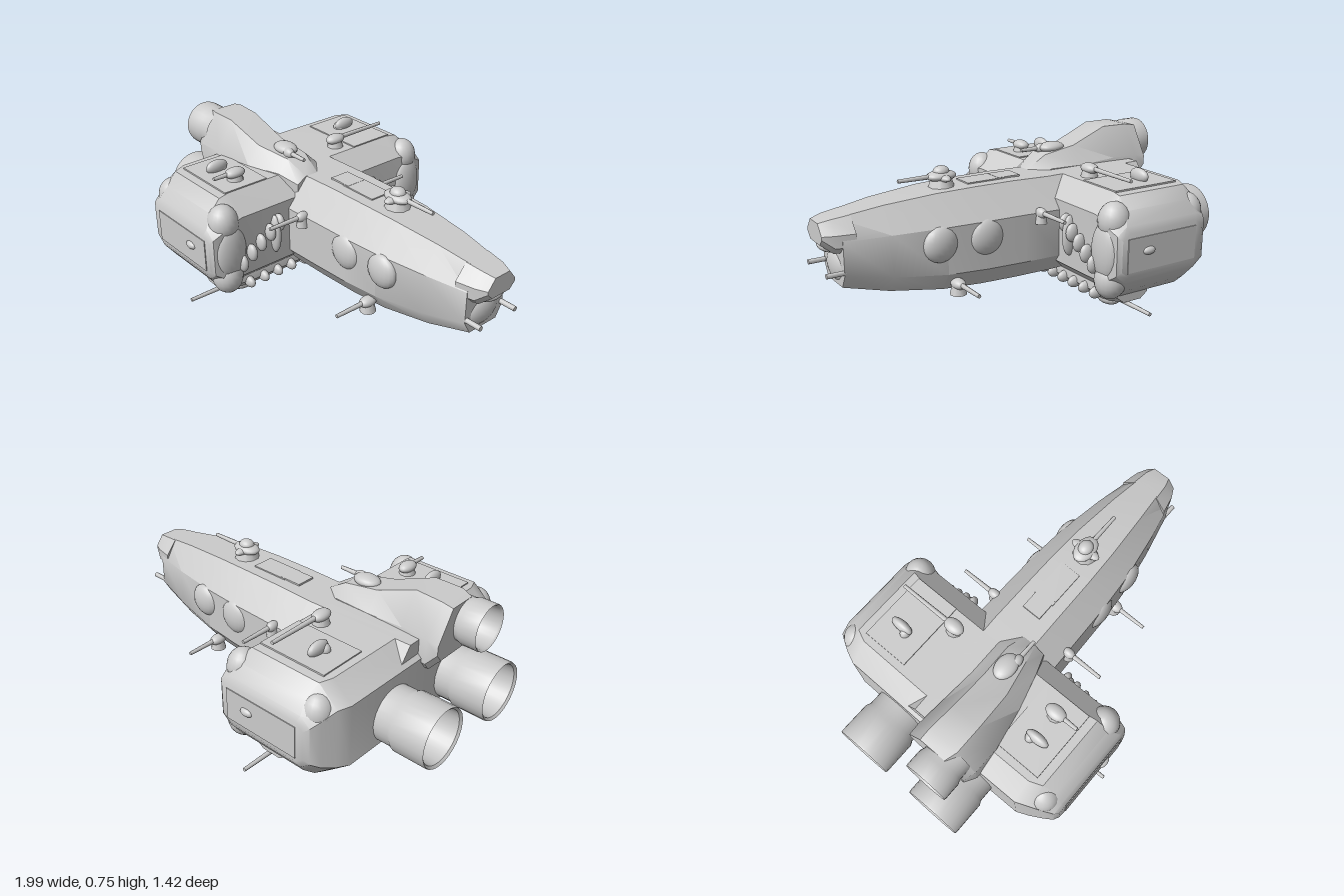
import * as THREE from 'three';
import { toCreasedNormals } from 'three/addons/utils/BufferGeometryUtils.js';

const grey = new THREE.MeshStandardMaterial({ color: 0xcccccc });
const greyDouble = new THREE.MeshStandardMaterial({ color: 0xcccccc, side: THREE.DoubleSide });

function add(parent, name, geo, pos = [0, 0, 0], scale = [1, 1, 1], mat = grey) {
  const m = new THREE.Mesh(geo, mat);
  m.name = name;
  m.position.set(...pos);
  m.scale.set(...scale);
  parent.add(m);
  return m;
}

// Loft of chamfered rectangles along 'x' (ring in -z,y) or 'z' (ring in x,y).
// Section: [t, u0, u1, v0, v1, topCutU, topCutV, bottomCutU, bottomCutV]
function loft(sections, axis) {
  const pos = [], idx = [], n = 8;
  const put = (u, v, t) => (axis === 'x' ? pos.push(t, v, -u) : pos.push(u, v, t));
  for (const [t, u0, u1, v0, v1, a, b, c, d] of sections) {
    const ring = [
      [u0 + c, v0], [u1 - c, v0], [u1, v0 + d], [u1, v1 - b],
      [u1 - a, v1], [u0 + a, v1], [u0, v1 - b], [u0, v0 + d],
    ];
    ring.forEach(([u, v]) => put(u, v, t));
  }
  for (let s = 0; s < sections.length - 1; s++) {
    for (let i = 0; i < n; i++) {
      const p = s * n + i, q = s * n + (i + 1) % n;
      idx.push(p, q, q + n, p, q + n, p + n);
    }
  }
  const e = (sections.length - 1) * n;
  for (let i = 1; i < n - 1; i++) idx.push(0, i + 1, i, e, e + i, e + i + 1);
  const g = new THREE.BufferGeometry();
  g.setAttribute('position', new THREE.Float32BufferAttribute(pos, 3));
  g.setIndex(idx);
  return toCreasedNormals(g, 0.6);
}

const ball = new THREE.SphereGeometry(1, 20, 12);

// Gun: domed mount with a barrel along its local +x
function gun(parent, name, pos, yaw, length, size = 1, flip = false) {
  const g = new THREE.Group();
  g.name = name;
  add(g, 'gunBase', new THREE.CylinderGeometry(0.035, 0.05, 0.05, 10), [0, -0.025, 0], [size, 1, size]);
  add(g, 'gunDome', ball, [0, 0, 0], [0.06 * size, 0.026, 0.04 * size]);
  const barrel = add(g, 'gunBarrel', new THREE.CylinderGeometry(0.009, 0.013, length, 8), [length / 2, 0.002, 0]);
  barrel.rotation.z = -Math.PI / 2;
  g.position.set(...pos);
  g.rotation.set(flip ? Math.PI : 0, flip ? -yaw : yaw, 0, 'YXZ');
  if (flip) g.rotation.y = yaw;
  parent.add(g);
  return g;
}

// Hollow exhaust pointing to -x; h0 is its buried end, h1 its lip
function engine(parent, name, y, z, r, h0, h1) {
  const mid = h0 + (h1 - h0) * 0.5;
  const profile = [
    [r * 0.93, h0], [r * 0.93, mid - 0.02], [r, mid], [r, h1 - 0.01], [r * 0.98, h1],
    [r * 0.9, h1 - 0.01], [r * 0.83, mid], [r * 0.7, h0 + 0.04], [0, h0 + 0.03],
  ].map(([a, b]) => new THREE.Vector2(a, b));
  const geo = toCreasedNormals(new THREE.LatheGeometry(profile, 28), 0.7);
  add(parent, name, geo, [0, y, z], [1, 1, 1], greyDouble).rotation.z = Math.PI / 2;
}

export function createModel() {
  const ship = new THREE.Group();
  ship.name = 'spaceship';

  // Long forward hull
  const hull = [
    [-0.72, 0.2, 0.15, 0.6], [-0.15, 0.23, 0.14, 0.6], [0.05, 0.225, 0.14, 0.605],
    [0.25, 0.22, 0.145, 0.605], [0.45, 0.205, 0.155, 0.6], [0.7, 0.165, 0.19, 0.58], [0.91, 0.12, 0.24, 0.55],
  ].map(([x, w, y0, y1]) => [x, -w, w, y0, y1, w * 0.5, (y1 - y0) * 0.3, w * 0.3, (y1 - y0) * 0.2]);
  add(ship, 'hull', loft(hull, 'x'));

  // Nose brow, chin and slot
  add(ship, 'noseBrow', loft([
    [0.85, -0.13, 0.13, 0.4, 0.558, 0.06, 0.07, 0.03, 0.03],
    [0.94, -0.11, 0.11, 0.4, 0.547, 0.05, 0.06, 0.03, 0.03],
    [0.99, -0.085, 0.085, 0.44, 0.535, 0.04, 0.05, 0.03, 0.03],
  ], 'x'));
  add(ship, 'noseChin', ball, [0.89, 0.32, 0], [0.04, 0.075, 0.1]);
  add(ship, 'noseLip', ball, [0.93, 0.42, 0], [0.05, 0.03, 0.075]);

  // Wide transverse engine block
  const block = [
    [0, -0.74, -0.14, 0.1, 0.6, 0.1, 0.09, 0.12, 0.1],
    [0.5, -0.735, -0.14, 0.1, 0.6, 0.1, 0.09, 0.12, 0.1],
    [0.56, -0.71, -0.13, 0.11, 0.595, 0.1, 0.09, 0.12, 0.1],
    [0.62, -0.68, -0.13, 0.16, 0.54, 0.09, 0.07, 0.1, 0.07],
    [0.665, -0.655, -0.14, 0.22, 0.485, 0.05, 0.04, 0.05, 0.04],
    [0.68, -0.63, -0.16, 0.25, 0.455, 0.04, 0.03, 0.04, 0.03],
  ];
  const mirrored = block.slice(1).reverse().map(([t, ...rest]) => [-t, ...rest]);
  add(ship, 'engineBlock', loft([...mirrored, ...block], 'z'));

  // Raised belly rail with ribs
  add(ship, 'bellyRail', loft([
    [-0.56, -0.42, -0.24, 0.07, 0.16, 0.01, 0.03, 0.04, 0.03],
    [-0.42, -0.42, -0.22, 0.04, 0.16, 0.01, 0.03, 0.05, 0.05],
    [0.42, -0.42, -0.22, 0.04, 0.16, 0.01, 0.03, 0.05, 0.05],
    [0.56, -0.42, -0.24, 0.07, 0.16, 0.01, 0.03, 0.04, 0.03],
  ], 'z'));
  for (let i = -5; i <= 5; i++) {
    add(ship, 'bellyRib', ball, [-0.22, 0.09, i * 0.085], [0.04, 0.03, 0.022]);
  }

  // Offset dorsal nacelle (u is -z)
  add(ship, 'dorsalNacelle', loft([
    [-0.82, -0.28, 0.04, 0.52, 0.755, 0.09, 0.15, 0.03, 0.04],
    [-0.76, -0.3, 0.04, 0.45, 0.765, 0.09, 0.15, 0.03, 0.04],
    [-0.62, -0.3, 0.03, 0.45, 0.765, 0.09, 0.15, 0.03, 0.04],
    [-0.42, -0.26, 0.02, 0.45, 0.69, 0.07, 0.09, 0.03, 0.04],
    [-0.24, -0.21, 0.02, 0.45, 0.665, 0.06, 0.06, 0.03, 0.04],
    [-0.14, -0.17, 0, 0.5, 0.6, 0.05, 0.03, 0.03, 0.03],
  ], 'x'));
  add(ship, 'dorsalBump', ball, [-0.32, 0.685, 0.1], [0.07, 0.028, 0.05]);
  gun(ship, 'dorsalGun', [-0.27, 0.68, 0.12], 0, 0.12, 0.6);

  // Three exhausts
  engine(ship, 'rightEngine', 0.32, -0.22, 0.145, 0.66, 1);
  engine(ship, 'leftEngine', 0.32, 0.22, 0.145, 0.66, 1);
  engine(ship, 'upperEngine', 0.65, 0.17, 0.112, 0.76, 0.935);

  // Top hatches and nose turret
  add(ship, 'topHatch', new THREE.BoxGeometry(0.2, 0.012, 0.11), [0.16, 0.605, 0]);
  add(ship, 'topHatch', new THREE.BoxGeometry(0.12, 0.02, 0.1), [0.03, 0.602, 0]);
  gun(ship, 'topTurret', [0.37, 0.65, 0], 0, 0.22, 1.25);
  add(ship, 'turretCap', ball, [0.37, 0.67, 0], [0.04, 0.028, 0.035]);
  add(ship, 'turretArms', ball, [0.37, 0.645, 0], [0.03, 0.02, 0.08]);

  for (const s of [1, -1]) {
    const out = -s * Math.PI / 2;
    // Hull side domes and slits
    add(ship, 'sideDome', ball, [0.25, 0.39, s * 0.2], [0.09, 0.09, 0.045]);
    add(ship, 'sideDome', ball, [0.48, 0.39, s * 0.19], [0.085, 0.085, 0.045]);
    const slit = add(ship, 'sideSlit', new THREE.BoxGeometry(0.25, 0.012, 0.02), [0.17, 0.525, s * 0.16]);
    slit.rotation.x = s * 0.9;

    // Guns on the hull sides, block roof and belly
    gun(ship, 'midHullGun', [-0.03, 0.465, s * 0.235], out, 0.19, 0.6);
    gun(ship, 'lowHullGun', [0.4, 0.19, s * 0.2], out, 0.19, 0.8);
    gun(ship, 'bellyGun', [-0.31, 0.06, s * 0.42], out, 0.29, 1.1, true);
    add(ship, 'bellyGunPod', ball, [-0.31, 0.045, s * 0.41], [0.05, 0.035, 0.07]);
    add(ship, 'roofPod', ball, [-0.47, 0.625, s * 0.41], [0.025, 0.035, 0.06]);
    add(ship, 'roofPod', ball, [-0.48, 0.61, s * 0.38], [0.03, 0.03, 0.025]);

    // Nose guns
    const barrel = add(ship, 'noseGun', new THREE.CylinderGeometry(0.012, 0.012, 0.13, 8), [0.925, 0.315, s * 0.11]);
    barrel.rotation.z = Math.PI / 2;

    // Rounded corner bulges, front teeth and vents on the block
    for (const [x, y] of [[-0.19, 0.49], [-0.18, 0.21], [-0.62, 0.47]]) {
      add(ship, 'cornerBulge', ball, [x, y, s * 0.575], [0.075, 0.09, 0.075]);
    }
    add(ship, 'frontPanel', ball, [-0.15, 0.35, s * 0.57], [0.045, 0.14, 0.085]);
    add(ship, 'frontVent', ball, [-0.135, 0.36, s * 0.32], [0.04, 0.1, 0.024]);
    for (let i = 0; i < 5; i++) {
      add(ship, 'frontTooth', ball, [-0.125, 0.42 - 0.035 * i, s * (0.3 + 0.055 * i)], [0.035, 0.045, 0.022]);
    }

    // Outer end fitting and roof seams
    add(ship, 'endFitting', ball, [-0.31, 0.36, s * 0.68], [0.035, 0.02, 0.02]);
    add(ship, 'roofPanel', new THREE.BoxGeometry(0.36, 0.014, 0.24), [-0.42, 0.599, s * 0.4]);
    add(ship, 'endPanel', new THREE.BoxGeometry(0.4, 0.16, 0.012), [-0.39, 0.35, s * 0.678]);
  }

  // Block roof guns differ left to right
  gun(ship, 'leftRoofGun', [-0.33, 0.64, 0.4], -Math.PI / 2, 0.12, 0.9);
  gun(ship, 'rightRoofGun', [-0.32, 0.64, -0.22], Math.PI / 2, 0.31, 0.9);

  return ship;
}
